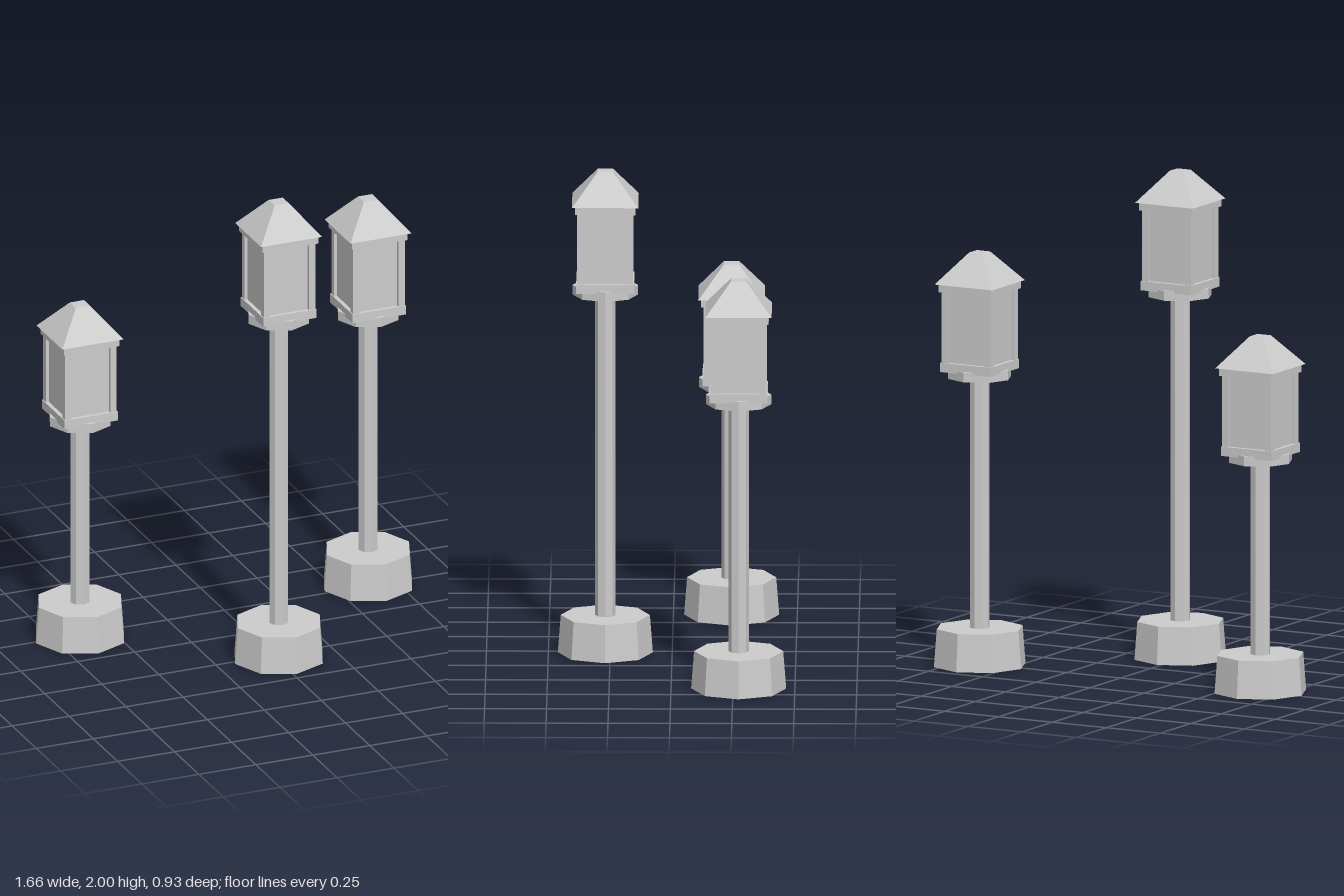
import * as THREE from 'three';

const grey = new THREE.MeshStandardMaterial({ color: 0xcccccc });
grey.name = 'stone grey';

function add(parent, name, geometry, x, y, z) {
  const flat = geometry.index ? geometry.toNonIndexed() : geometry;
  flat.computeVertexNormals(); // faceted shading
  const mesh = new THREE.Mesh(flat, grey);
  mesh.name = name;
  mesh.position.set(x, y, z);
  parent.add(mesh);
  return mesh;
}

// Eight-sided prism between two heights, corners on the axes
function octagon(parent, name, rTop, rBottom, y0, y1) {
  add(parent, name, new THREE.CylinderGeometry(rTop, rBottom, y1 - y0, 8), 0, (y0 + y1) / 2, 0);
}

// Square block between two heights
function block(parent, name, half, y0, y1, x = 0, z = 0) {
  add(parent, name, new THREE.BoxGeometry(half * 2, y1 - y0, half * 2), x, (y0 + y1) / 2, z);
}

function createLamp(name, height) {
  const lamp = new THREE.Group();
  lamp.name = name;

  octagon(lamp, 'base', 0.18, 0.192, 0, 0.155);
  octagon(lamp, 'pole', 0.041, 0.041, 0.155, height - 0.515);

  // Lantern, measured down from the roof tip
  const lantern = new THREE.Group();
  lantern.name = 'lantern';
  lantern.position.y = height;
  lamp.add(lantern);
  octagon(lantern, 'collar', 0.132, 0.132, -0.515, -0.475);
  block(lantern, 'tray', 0.117, -0.485, -0.447);
  block(lantern, 'glass', 0.1, -0.447, -0.155);
  for (const sx of [-1, 1]) for (const sz of [-1, 1]) {
    block(lantern, 'cornerPost', 0.014, -0.447, -0.155, sx * 0.099, sz * 0.099);
  }
  block(lantern, 'topBand', 0.122, -0.157, -0.125);

  // Truncated pyramid roof
  const k = Math.SQRT2;
  const roof = new THREE.CylinderGeometry(0.031 * k, 0.134 * k, 0.125, 4).rotateY(Math.PI / 4);
  add(lantern, 'roof', roof, 0, -0.0625, 0);
  return lamp;
}

export function createModel() {
  const model = new THREE.Group();
  model.name = 'lampPosts';
  const lamps = [
    ['shortLamp', 1.46, -0.64, -0.235],
    ['tallLamp', 2.0, 0.017, 0.27],
    ['mediumLamp', 1.695, 0.64, -0.273],
  ];
  for (const [name, height, x, z] of lamps) {
    const lamp = createLamp(name, height);
    lamp.position.set(x, 0, z);
    model.add(lamp);
  }
  return model;
}
